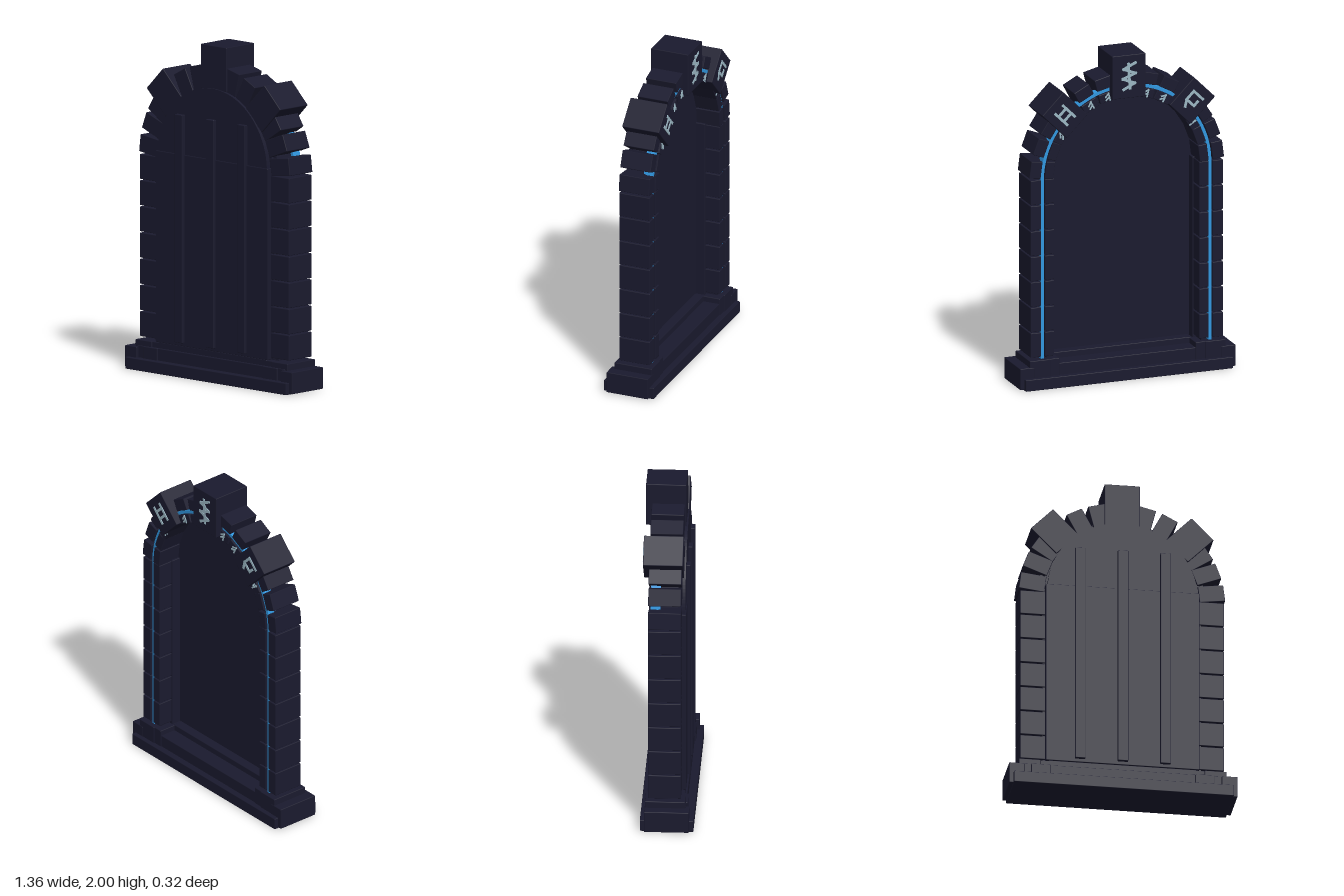
import * as THREE from 'three';
import { RoundedBoxGeometry } from 'three/addons/geometries/RoundedBoxGeometry.js';

const mat = (name, color) => {
  const m = new THREE.MeshStandardMaterial({ color });
  m.name = name;
  return m;
};

const ARCH_Y = 1.27;   // height of the arch centre

export function createModel() {
  const stone = mat('darkStone', 0x1a1a2e);
  const glow = mat('blueGlow', 0x3096de);
  const etch = mat('paleEtching', 0x9ab6c2);
  const model = new THREE.Group();
  model.name = 'archedDoorway';

  // slightly chamfered block given by its lower and upper limits
  const box = (name, x0, x1, y0, y1, z0, z1, parent = model) => {
    const mesh = new THREE.Mesh(new RoundedBoxGeometry(x1 - x0, y1 - y0, z1 - z0, 1, 0.004), stone);
    mesh.position.set((x0 + x1) / 2, (y0 + y1) / 2, (z0 + z1) / 2);
    mesh.name = name;
    parent.add(mesh);
  };
  const extrude = (name, shape, z0, z1, m) => {
    const g = new THREE.ExtrudeGeometry(shape, { depth: z1 - z0, bevelEnabled: false, curveSegments: 32 });
    g.translate(0, 0, z0);
    const mesh = new THREE.Mesh(g, m);
    mesh.name = name;
    model.add(mesh);
  };
  // upside-down U band following the jambs and the arch
  const archBand = (name, rIn, rOut, y0, z0, z1, m) => {
    const s = new THREE.Shape();
    s.moveTo(rOut, y0);
    s.lineTo(rOut, ARCH_Y);
    s.absarc(0, ARCH_Y, rOut, 0, Math.PI, false);
    s.lineTo(-rOut, y0);
    s.lineTo(-rIn, y0);
    s.lineTo(-rIn, ARCH_Y);
    s.absarc(0, ARCH_Y, rIn, Math.PI, 0, true);
    s.lineTo(rIn, y0);
    s.closePath();
    extrude(name, s, z0, z1, m);
  };
  // panel with a rounded head
  const archPanel = (name, r, cy, z0, z1) => {
    const s = new THREE.Shape();
    s.moveTo(-r, 0.18);
    s.lineTo(r, 0.18);
    s.lineTo(r, cy);
    s.absarc(0, cy, r, 0, Math.PI, false);
    s.closePath();
    extrude(name, s, z0, z1, stone);
  };
  // thin etched strokes on a back face, four numbers per stroke
  const etching = (parent, strokes, y, z, scale, width) => {
    for (let i = 0; i < strokes.length; i += 4) {
      const [ax, ay, bx, by] = strokes.slice(i, i + 4).map((v) => v * scale);
      const len = Math.hypot(bx - ax, by - ay);
      const stroke = new THREE.Mesh(new THREE.BoxGeometry(len + width, width, 0.006), etch);
      stroke.position.set((ax + bx) / 2, y + (ay + by) / 2, z);
      stroke.rotation.z = Math.atan2(by - ay, bx - ax);
      stroke.name = 'etchedStroke';
      parent.add(stroke);
    }
  };
  const zigzag = [-0.8, 1.6, 0.7, 0.9, 0.7, 0.9, -0.8, 0.3, -0.8, 0.3, 0.8, -0.3,
    0.8, -0.3, -0.7, -0.9, -0.7, -0.9, 0.7, -1.6, 0.1, 1.5, -0.1, -1.5];
  const ladder = [-0.8, -1.2, -0.8, 1.2, 0.8, -1.2, 0.8, 1.2, -0.8, 0.6, 0.8, 0.6, -0.8, -0.5, 0.8, -0.5];
  const hook = [-0.9, 1, 0.8, 1, 0.8, 1, 0.8, -0.4, 0.8, -0.4, -0.6, -0.4, -0.6, -0.4, -0.6, 0.3, 0.8, -0.4, 0.3, -1.2];
  const tick = [-0.5, 1, -0.5, -1, -0.5, 1, 0.6, 0.2, -0.5, 0, 0.6, -0.7];

  // stepped base
  box('baseSlab', -0.655, 0.655, 0, 0.07, -0.158, 0.158);
  box('baseStep', -0.6, 0.6, 0.005, 0.142, -0.12, 0.112);
  box('sill', -0.44, 0.44, 0.13, 0.178, -0.02, 0.1);
  for (const s of [-1, 1]) {
    const side = new THREE.Group();
    side.name = s > 0 ? 'leftPierBase' : 'rightPierBase';
    model.add(side);
    const b = (name, x0, x1, ...r) =>
      box(name, Math.min(s * x0, s * x1), Math.max(s * x0, s * x1), ...r, side);
    b('baseEnd', 0.587, 0.68, 0.005, 0.135, -0.132, 0.132);
    b('outerPlinth', 0.488, 0.618, 0.05, 0.175, -0.13, 0.108);
    b('innerPlinth', 0.43, 0.546, 0.05, 0.142, -0.125, 0.12);
    b('plinthCap', 0.43, 0.5, 0.13, 0.175, -0.125, 0.1);
    b('innerJamb', 0.449, 0.475, 0.17, 1.285, -0.02, 0.06);
  }

  // frame for a stone: local y points outward, local x runs along the arch
  const stoneFrame = (name, y, deg) => {
    const g = new THREE.Group();
    g.name = name;
    g.position.y = y;
    g.rotation.z = THREE.MathUtils.degToRad(deg - 90);
    model.add(g);
    return g;
  };
  // common stone with a slot across its back for the glowing seam
  const slottedStone = (name, y, deg, width, rIn, rOut) => {
    const g = stoneFrame(name, y, deg);
    const w = width / 2;
    box('stoneFront', -w, w, rIn, rOut, -0.055, 0.082, g);
    box('stoneBackInner', -w, w, rIn, 0.516, -0.112, -0.045, g);
    box('stoneBackOuter', -w, w, 0.541, rOut, -0.112, -0.045, g);
    return g;
  };
  // tall stone marking the crown or a haunch
  const tallStone = (deg, width, rIn, rOut, zBack, marks, markY, scale) => {
    const g = stoneFrame('tallStone', ARCH_Y, deg);
    box('stoneBlock', -width / 2, width / 2, rIn, rOut, zBack, 0.09, g);
    etching(g, marks, markY, zBack - 0.001, scale, 0.016);
  };

  // stacked pier stones
  for (let i = 0; i < 7; i++) {
    for (const deg of [0, 180]) slottedStone('pierStone', 0.2655 + i * 0.1565, deg, 0.149, 0.457, 0.607);
  }
  // arch stones
  for (const a of [7.2, 20.8, 33, 62.2, 75.6]) {
    for (const deg of [a, 180 - a]) {
      const g = slottedStone('archStone', ARCH_Y, deg, 0.104, 0.46, 0.613);
      if (a > 30) etching(g, tick, 0.488, -0.113, 0.021, 0.009);
    }
  }
  tallStone(45, 0.187, 0.46, 0.677, -0.145, ladder, 0.57, 0.042);
  tallStone(135, 0.187, 0.46, 0.677, -0.145, hook, 0.57, 0.046);
  tallStone(90, 0.21, 0.465, 0.73, -0.148, zigzag, 0.6, 0.05);

  // core behind the joints and the glowing seam in the slots
  archBand('stoneCore', 0.475, 0.5, 0.17, -0.09, 0.06, stone);
  archBand('glowSeam', 0.519, 0.538, 0.17, -0.1, -0.042, glow);

  // door: backing, rounded head, lower face and three raised battens
  archPanel('doorBacking', 0.472, ARCH_Y, 0.036, 0.072);
  archPanel('doorHead', 0.445, 1.3, 0.06, 0.1);
  box('doorFace', -0.457, 0.457, 0.178, 1.322, 0.05, 0.105);
  for (const x of [-0.254, 0, 0.254]) box('doorBatten', x - 0.031, x + 0.031, 0.198, 1.562, 0.09, 0.124);

  return model;
}
